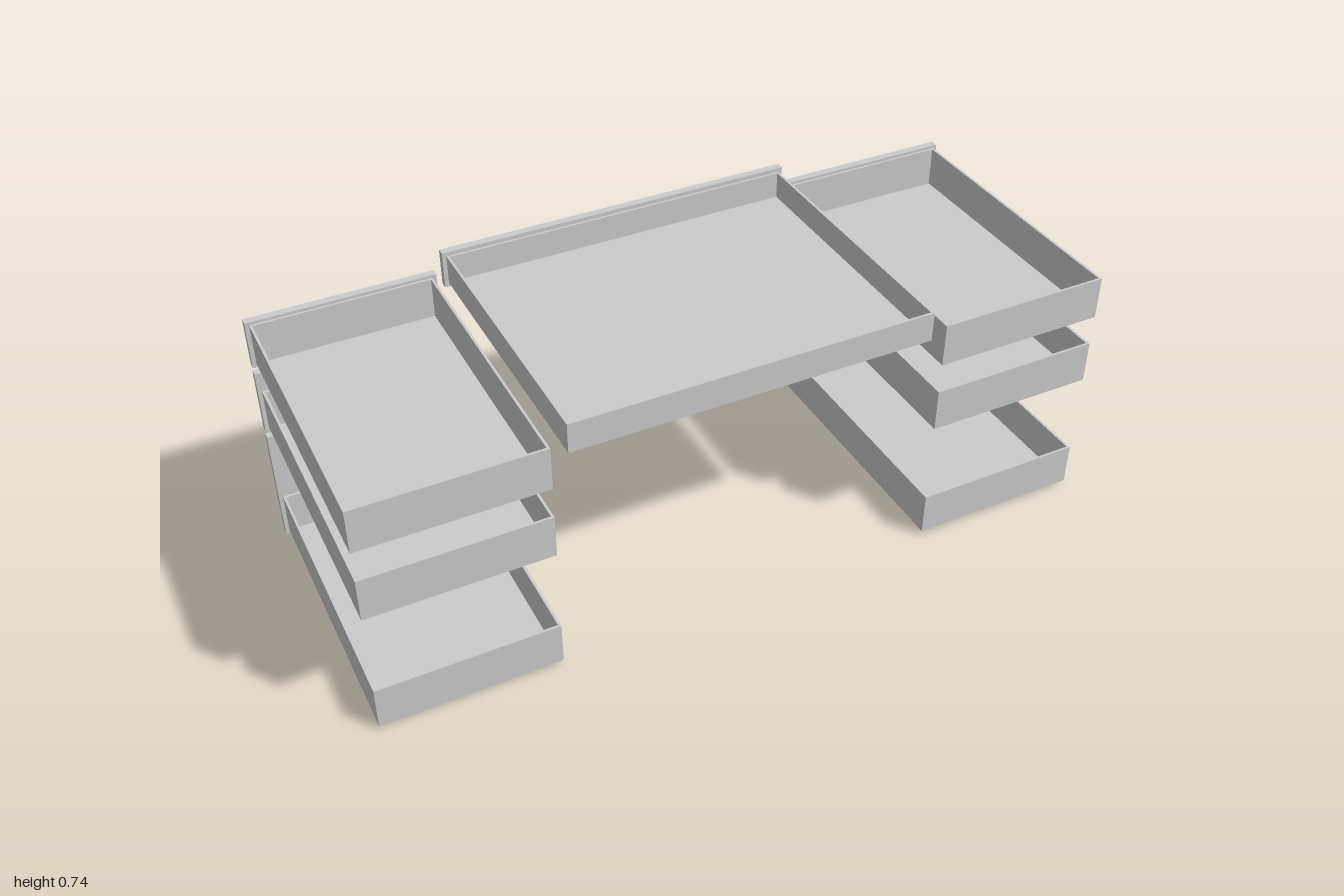
import * as THREE from 'three';

const WALL = 0.0065;          // thickness of the drawer boards
const BACK = 0.41;            // open end of the drawers
const PANEL_IN = -0.352;      // inner face of the drawer fronts
const PANEL_OUT = -0.373;     // outer face of the drawer fronts

const material = new THREE.MeshStandardMaterial({ color: 0xcccccc });

// Box given by its limits on each axis
function board(name, x0, x1, y0, y1, z0, z1) {
  const mesh = new THREE.Mesh(new THREE.BoxGeometry(x1 - x0, y1 - y0, z1 - z0), material);
  mesh.position.set((x0 + x1) / 2, (y0 + y1) / 2, (z0 + z1) / 2);
  mesh.name = name;
  return mesh;
}

// Turned knob: flared foot, thin neck, rounded mushroom head
const knobProfile = [
  [0.009, -0.002], [0.0085, 0.001], [0.0065, 0.004], [0.006, 0.009], [0.008, 0.014],
  [0.013, 0.017], [0.021, 0.0195], [0.0235, 0.022], [0.0225, 0.025], [0.018, 0.028],
  [0.0145, 0.0305], [0.012, 0.034], [0.007, 0.0362], [0, 0.037],
].map(([r, h]) => new THREE.Vector2(r, h));
const knobGeometry = new THREE.LatheGeometry(knobProfile, 24);

function makeKnob(x, y) {
  const knob = new THREE.Mesh(knobGeometry, material);
  knob.rotation.x = -Math.PI / 2;
  knob.position.set(x, y, PANEL_OUT);
  knob.name = 'knob';
  return knob;
}

function rectangle(path, w, h) {
  path.moveTo(-w / 2, -h / 2);
  path.lineTo(w / 2, -h / 2);
  path.lineTo(w / 2, h / 2);
  path.lineTo(-w / 2, h / 2);
  path.closePath();
  return path;
}

// Raised rectangular moulding on a deep drawer front
function makeMoulding(x, y, w, h) {
  const bevel = 0.003, width = 0.017;
  const shape = rectangle(new THREE.Shape(), w - 2 * bevel, h - 2 * bevel);
  shape.holes.push(rectangle(new THREE.Path(), w - 2 * width + 2 * bevel, h - 2 * width + 2 * bevel));
  const geometry = new THREE.ExtrudeGeometry(shape, {
    depth: 0.004, bevelEnabled: true, bevelThickness: bevel, bevelSize: bevel, bevelSegments: 2,
  });
  const mesh = new THREE.Mesh(geometry, material);
  mesh.position.set(x, y, PANEL_OUT - 0.004 + bevel);
  mesh.name = 'frontMoulding';
  return mesh;
}

// Open-topped drawer with a larger front panel and its knobs
function makeDrawer({ name, x, boxWidth, boxY, frontWidth, frontY, knobs, moulding }) {
  const drawer = new THREE.Group();
  drawer.name = name;
  const [y0, y1] = boxY;
  const x0 = x - boxWidth / 2, x1 = x + boxWidth / 2;
  drawer.add(
    board('drawerBottom', x0, x1, y0, y0 + WALL, PANEL_IN, BACK),
    board('drawerSide', x0, x0 + WALL, y0 + WALL, y1, PANEL_IN, BACK),
    board('drawerSide', x1 - WALL, x1, y0 + WALL, y1, PANEL_IN, BACK),
    board('drawerEnd', x0 + WALL, x1 - WALL, y0 + WALL, y1, BACK - WALL, BACK),
    board('drawerInnerFront', x0 + WALL, x1 - WALL, y0 + WALL, y1, PANEL_IN, PANEL_IN + WALL),
    board('drawerFront', x - frontWidth / 2, x + frontWidth / 2, ...frontY, PANEL_OUT, PANEL_IN),
  );
  const midY = (frontY[0] + frontY[1]) / 2;
  for (const offset of knobs) drawer.add(makeKnob(x + offset, midY));
  if (moulding) drawer.add(makeMoulding(x, midY, 0.38, 0.219));
  return drawer;
}

export function createModel() {
  const model = new THREE.Group();
  model.name = 'deskDrawers';

  // Wide centre drawer
  model.add(makeDrawer({
    name: 'centreDrawer', x: 0, boxWidth: 0.958, boxY: [0.65, 0.73],
    frontWidth: 0.98, frontY: [0.64, 0.741], knobs: [-0.362, 0.362],
  }));

  // Three drawers in each side stack
  const tiers = [
    { name: 'upperDrawer', boxY: [0.561, 0.678], frontY: [0.552, 0.686] },
    { name: 'middleDrawer', boxY: [0.36, 0.477], frontY: [0.351, 0.532] },
    { name: 'lowerDrawer', boxY: [0.011, 0.129], frontY: [0, 0.331], moulding: true },
  ];
  for (const [side, sign] of [['left', 1], ['right', -1]]) {
    const stack = new THREE.Group();
    stack.name = side + 'DrawerStack';
    for (const tier of tiers) {
      stack.add(makeDrawer({ ...tier, x: sign * 0.755, boxWidth: 0.469, frontWidth: 0.49, knobs: [0] }));
    }
    model.add(stack);
  }
  return model;
}
